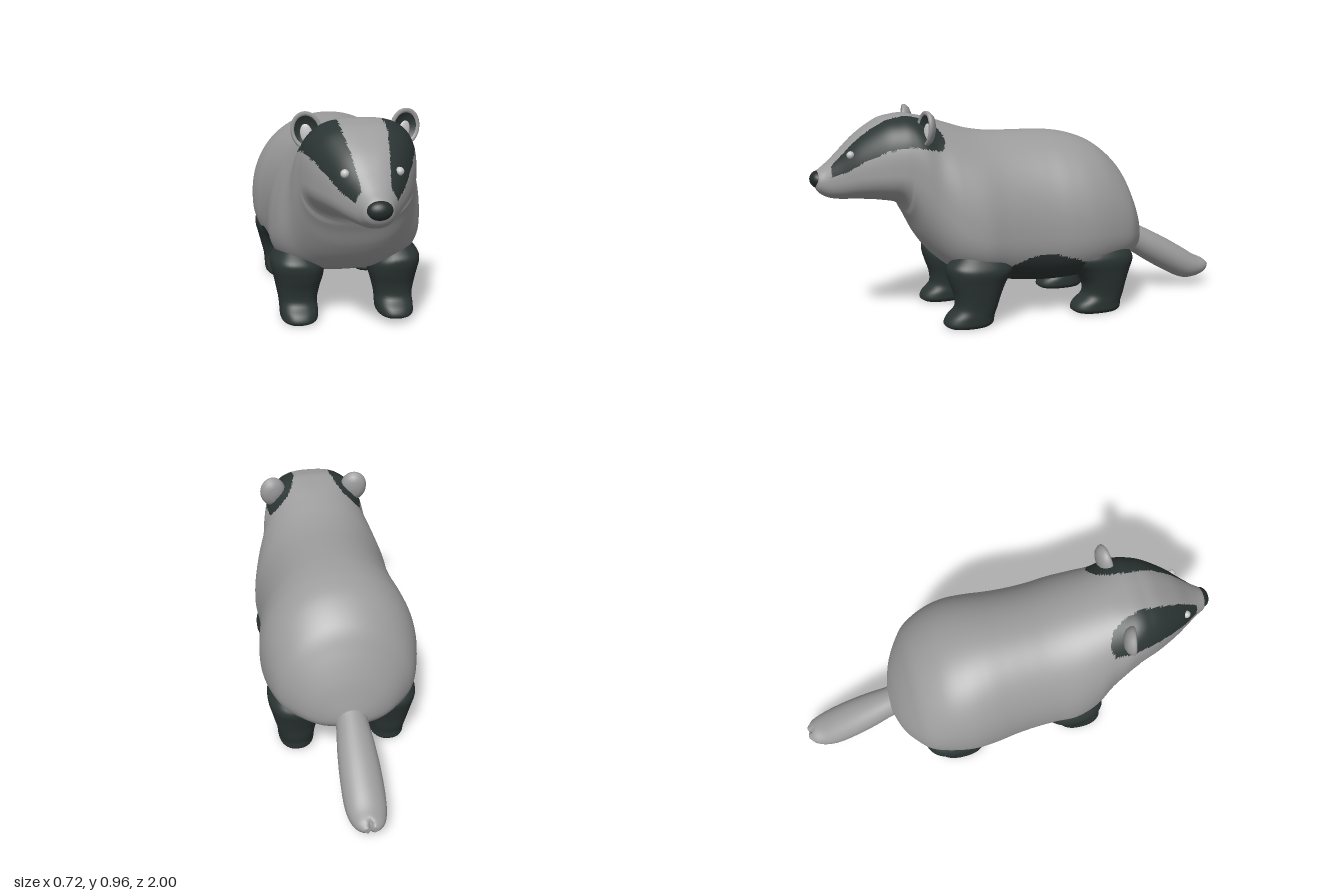
import * as THREE from 'three';

const paint = (name, color) => Object.assign(new THREE.MeshStandardMaterial({ color }), { name });

// Piecewise linear lookup through [x, y] pairs sorted by x
function lookup(table, x) {
  for (let i = 1; i < table.length; i++) {
    const [x0, y0] = table[i - 1], [x1, y1] = table[i];
    if (x <= x1) return y0 + (y1 - y0) * Math.max(0, (x - x0) / (x1 - x0));
  }
  return table[table.length - 1][1];
}

// Smooth spline through stations of numbers, with n steps per span
function smooth(st, n) {
  const out = [];
  for (let i = 0; i < st.length - 1; i++) {
    const p = st[Math.max(0, i - 1)], q = st[i], r = st[i + 1], s = st[Math.min(st.length - 1, i + 2)];
    for (let k = 0; k < n; k++) {
      const t = k / n;
      out.push(q.map((b, c) => b + 0.5 * t * (r[c] - p[c] + t * (2 * p[c] - 5 * b + 4 * r[c] - s[c]
        + t * (3 * (b - r[c]) + s[c] - p[c])))));
    }
  }
  out.push(st[st.length - 1]);
  return out;
}

// Superellipse direction
const squircle = (a, n) => [Math.cos(a), Math.sin(a)].map(v => Math.sign(v) * Math.abs(v) ** (2 / n));

// Closed skin over rings; isDark(x, y, z) sorts the faces into two material groups
function loft(rings, sides, point, isDark = () => false) {
  const pos = [], groups = [[], []], m = rings.length;
  rings.forEach(r => {
    for (let j = 0; j < sides; j++) pos.push(...point(r, j / sides * Math.PI * 2));
  });
  for (const row of [0, m - 1]) {
    const c = [0, 0, 0];
    for (let j = 0; j < sides; j++) for (let k = 0; k < 3; k++) c[k] += pos[(row * sides + j) * 3 + k] / sides;
    pos.push(...c);
  }
  const tri = (...f) => {
    const c = [0, 1, 2].map(k => (pos[f[0] * 3 + k] + pos[f[1] * 3 + k] + pos[f[2] * 3 + k]) / 3);
    groups[isDark(...c) ? 1 : 0].push(...f);
  };
  for (let j = 0; j < sides; j++) {
    const k = (j + 1) % sides;
    for (let i = 0; i < m - 1; i++) {
      const a = i * sides + j, b = i * sides + k;
      tri(a, b, a + sides);
      tri(b, b + sides, a + sides);
    }
    tri(m * sides, k, j);
    tri(m * sides + 1, (m - 1) * sides + j, (m - 1) * sides + k);
  }
  const g = new THREE.BufferGeometry();
  g.setAttribute('position', new THREE.Float32BufferAttribute(pos, 3));
  g.setIndex([...groups[0], ...groups[1]]);
  g.addGroup(0, groups[0].length, 0);
  g.addGroup(groups[0].length, groups[1].length, 1);
  g.computeVertexNormals();
  return g;
}

// Body and head stations: z, top, bottom, half width, height of widest point, upper roundness
const BODY = [
  [-0.56, 0.33, 0.29, 0.03, 0.31, 2], [-0.54, 0.40, 0.265, 0.11, 0.32, 2], [-0.51, 0.49, 0.24, 0.185, 0.34, 2],
  [-0.46, 0.60, 0.22, 0.255, 0.37, 2], [-0.4, 0.70, 0.205, 0.31, 0.39, 2], [-0.3, 0.78, 0.175, 0.345, 0.41, 2.1],
  [-0.2, 0.82, 0.15, 0.36, 0.42, 2.1], [-0.1, 0.837, 0.14, 0.353, 0.42, 2.1], [0, 0.841, 0.14, 0.338, 0.42, 2.1],
  [0.1, 0.842, 0.15, 0.33, 0.42, 2.1], [0.2, 0.845, 0.168, 0.33, 0.42, 2.1], [0.3, 0.86, 0.195, 0.335, 0.42, 2.1],
  [0.4, 0.89, 0.235, 0.312, 0.46, 2.2], [0.48, 0.915, 0.30, 0.272, 0.56, 2.4], [0.54, 0.928, 0.38, 0.255, 0.65, 2.7],
  [0.585, 0.935, 0.47, 0.242, 0.68, 2.9], [0.63, 0.931, 0.54, 0.23, 0.69, 2.9], [0.7, 0.913, 0.56, 0.205, 0.69, 2.8],
  [0.8, 0.85, 0.57, 0.155, 0.68, 2.5], [0.88, 0.775, 0.573, 0.104, 0.66, 2.3], [0.93, 0.73, 0.583, 0.073, 0.65, 2.2],
  [0.965, 0.703, 0.605, 0.055, 0.65, 2], [0.98, 0.685, 0.63, 0.035, 0.655, 2],
];

// Colour borders of the coat
const STRIPE_IN = [[0.445, 0.2], [0.47, 0.14], [0.52, 0.11], [0.6, 0.092], [0.7, 0.09], [0.8, 0.075], [0.9, 0.058]];
const STRIPE_LOW = [[0.445, 0.83], [0.47, 0.785], [0.55, 0.8], [0.6, 0.81], [0.7, 0.79], [0.8, 0.74], [0.85, 0.705], [0.92, 0.675]];
const SOCK_TOP = [[-0.43, 0.235], [-0.3, 0.27], [-0.2, 0.25], [-0.1, 0.29], [0, 0.32], [0.1, 0.31], [0.22, 0.25], [0.4, 0.28], [0.46, 0.29]];

function coatIsDark(x, y, z) {
  const ax = Math.abs(x);
  if (z > 0.445 && z < 0.915 && y > 0.6) return ax > lookup(STRIPE_IN, z) && y > lookup(STRIPE_LOW, z);
  return z > -0.44 && z < 0.48 && y < lookup(SOCK_TOP, z) && ax > 0.1 + Math.max(0, y - 0.17) * 0.9;
}

// Leg stations: y, inner x, outer x, back z, front z
const FRONT_LEG = [
  [0, 0.15, 0.285, 0.265, 0.455], [0.015, 0.135, 0.298, 0.25, 0.474], [0.045, 0.132, 0.3, 0.245, 0.462],
  [0.085, 0.132, 0.302, 0.232, 0.424], [0.14, 0.12, 0.312, 0.215, 0.425], [0.2, 0.103, 0.324, 0.19, 0.445],
  [0.25, 0.1, 0.335, 0.16, 0.458], [0.285, 0.13, 0.325, 0.17, 0.45], [0.33, 0.16, 0.29, 0.2, 0.4],
];
const HIND_LEG = [
  [0, 0.15, 0.285, -0.37, -0.16], [0.015, 0.135, 0.298, -0.382, -0.142], [0.045, 0.132, 0.3, -0.384, -0.155],
  [0.085, 0.132, 0.302, -0.395, -0.2], [0.14, 0.12, 0.315, -0.405, -0.197], [0.2, 0.103, 0.33, -0.422, -0.16],
  [0.25, 0.1, 0.342, -0.435, -0.12], [0.285, 0.13, 0.335, -0.42, -0.13], [0.33, 0.16, 0.3, -0.38, -0.17],
];

// Tail stations: z, y, half width, half height
const TAIL = [
  [-0.48, 0.31, 0.085, 0.085], [-0.55, 0.285, 0.072, 0.076], [-0.65, 0.23, 0.083, 0.082], [-0.75, 0.175, 0.09, 0.085],
  [-0.85, 0.122, 0.09, 0.08], [-0.92, 0.1, 0.08, 0.058], [-0.97, 0.098, 0.06, 0.038], [-0.998, 0.1, 0.03, 0.014],
];

export function createModel() {
  const grey = paint('greyFur', 0x9c9c9c), dark = paint('darkFur', 0x2b3533);
  const black = paint('noseBlack', 0x232b2a), light = paint('paleGrey', 0xc4c4c4);
  const model = new THREE.Group();
  model.name = 'badger';
  const add = (parent, name, geometry, material) => {
    const mesh = new THREE.Mesh(geometry, material);
    mesh.name = name;
    parent.add(mesh);
    return mesh;
  };

  // Body, neck and head in one skin
  add(model, 'bodyAndHead', loft(smooth(BODY, 10), 128, ([z, top, bot, w, cy, n], a) => {
    const up = Math.sin(a) > 0;
    const [c, s] = squircle(a, up ? n : z > 0.6 ? 2.2 : 2.5);
    return [c * w, cy + s * (up ? top - cy : cy - bot), z];
  }, coatIsDark), [grey, dark]);

  // Tail with a notched tip
  add(model, 'tail', loft(smooth(TAIL, 6), 32, ([z, y, w, h], a) => {
    const x = Math.cos(a) * w;
    const notch = z < -0.96 ? 0.035 * Math.max(0, 1 - Math.abs(x) / 0.012) * (-z - 0.96) / 0.04 : 0;
    return [x, y - Math.sin(a) * h, z + notch];
  }), [grey, dark]);

  // Nose
  const nose = add(model, 'nose', new THREE.SphereGeometry(1, 32, 20), black);
  nose.scale.set(0.05, 0.038, 0.036);
  nose.position.set(0, 0.662, 0.964);

  // Ear bowl profiles, turned to face forward
  const bowl = pts => new THREE.LatheGeometry(pts.map(p => new THREE.Vector2(...p)), 40).rotateX(Math.PI / 2);
  const earShell = bowl([[0, -0.03], [0.03, -0.028], [0.052, -0.016], [0.063, 0.002], [0.064, 0.014], [0.057, 0.02], [0.049, 0.012]]);
  const earInside = bowl([[0.049, 0.012], [0.035, 0.002], [0.018, -0.003], [0, -0.004]]);

  for (const side of [1, -1]) {
    const label = side > 0 ? 'left' : 'right';

    // Legs
    for (const [name, stations] of [['FrontLeg', FRONT_LEG], ['HindLeg', HIND_LEG]]) {
      add(model, label + name, loft(smooth(stations, 5), 40, ([y, x0, x1, z0, z1], a) => {
        const [c, s] = squircle(a, 2.4);
        return [side * (x0 + x1) / 2 + s * (x1 - x0) / 2, y, (z0 + z1) / 2 + c * (z1 - z0) / 2];
      }), [dark, dark]);
    }

    // Ears
    const ear = new THREE.Group();
    ear.name = label + 'Ear';
    add(ear, 'earShell', earShell, grey);
    add(ear, 'earInside', earInside, dark);
    const tuft = add(ear, 'earTuft', new THREE.SphereGeometry(1, 20, 12), light);
    tuft.scale.set(0.025, 0.034, 0.008);
    tuft.position.set(side * 0.004, -0.012, 0.001);
    ear.scale.y = 1.22;
    ear.position.set(side * 0.2, 0.88, 0.53);
    ear.rotation.set(-0.08, side * 0.2, side * -0.2);
    model.add(ear);

    // Eyes
    const eye = add(model, label + 'Eye', new THREE.SphereGeometry(0.017, 20, 14), light);
    eye.position.set(side * 0.105, 0.773, 0.838);
  }
  return model;
}
